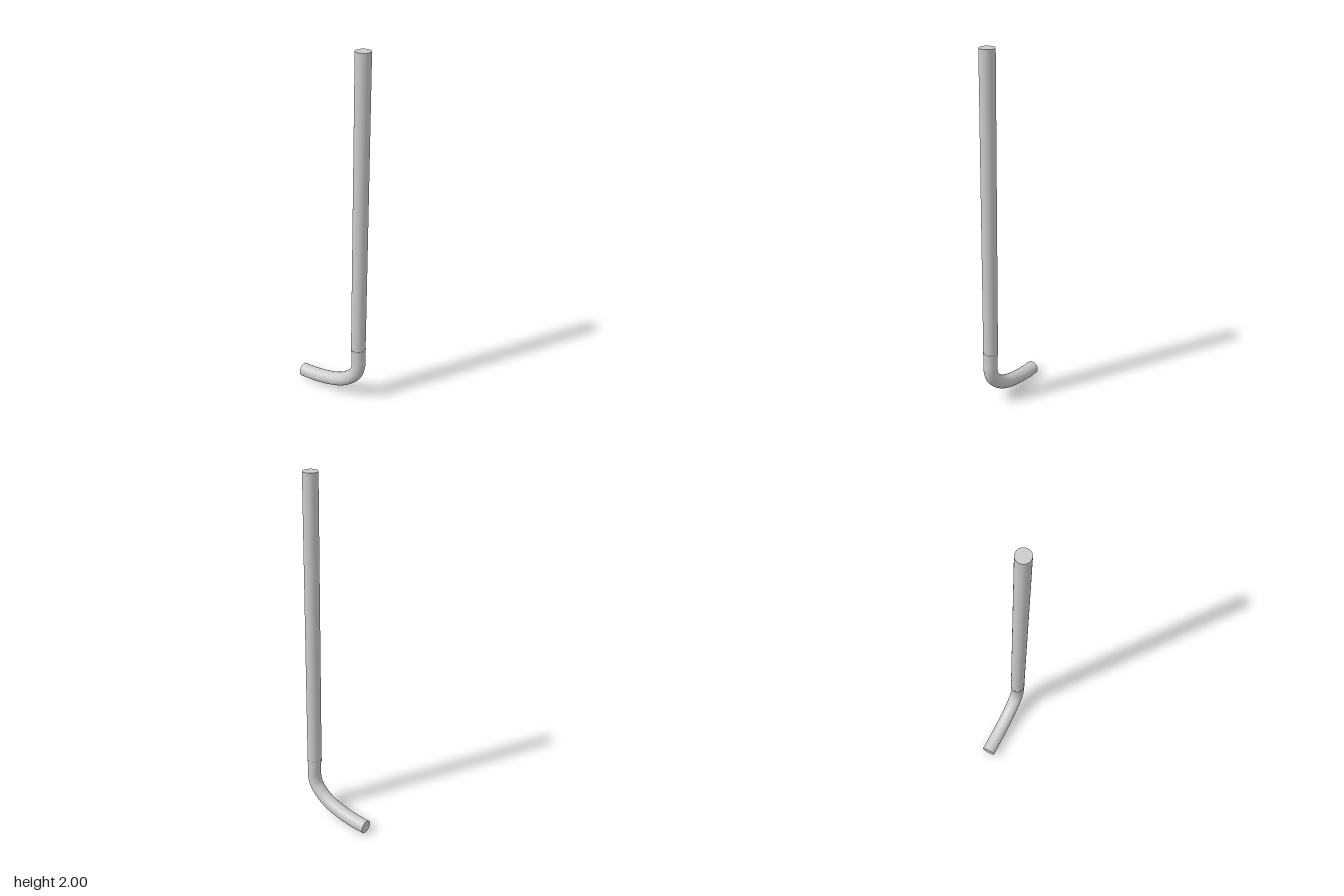
import * as THREE from 'three';

const material = new THREE.MeshStandardMaterial({ color: 0xcccccc });

function addPart(group, name, geometry, x = 0, y = 0) {
  const mesh = new THREE.Mesh(geometry, material);
  mesh.name = name;
  mesh.position.set(x, y, 0);
  group.add(mesh);
  return mesh;
}

export function createModel() {
  const group = new THREE.Group();
  group.name = 'hookedStick';
  const shaftX = 0.168, bladeRadius = 0.0385;

  // Long straight shaft
  addPart(group, 'shaft', new THREE.CylinderGeometry(0.04, 0.04, 1.66, 48), shaftX, 1.17);

  // Narrow joint band where the blade meets the shaft
  addPart(group, 'jointBand', new THREE.CylinderGeometry(0.041, 0.041, 0.016, 48), shaftX, 0.332);

  // Curved blade sweeping out to the side
  const path = new THREE.CatmullRomCurve3([
    [-0.21, 0.04], [-0.13, 0.043], [-0.035, 0.057], [0.05, 0.083], [0.11, 0.12],
    [0.155, 0.172], [0.17, 0.225], [0.17, 0.28], [0.169, 0.335],
  ].map(([x, y]) => new THREE.Vector3(x, y, 0)));
  addPart(group, 'blade', new THREE.TubeGeometry(path, 80, bladeRadius, 40));

  // Flat end of the blade
  const cap = addPart(group, 'bladeEnd', new THREE.CircleGeometry(bladeRadius, 40));
  cap.position.copy(path.getPointAt(0));
  cap.quaternion.setFromUnitVectors(new THREE.Vector3(0, 0, 1), path.getTangentAt(0).negate());

  return group;
}
